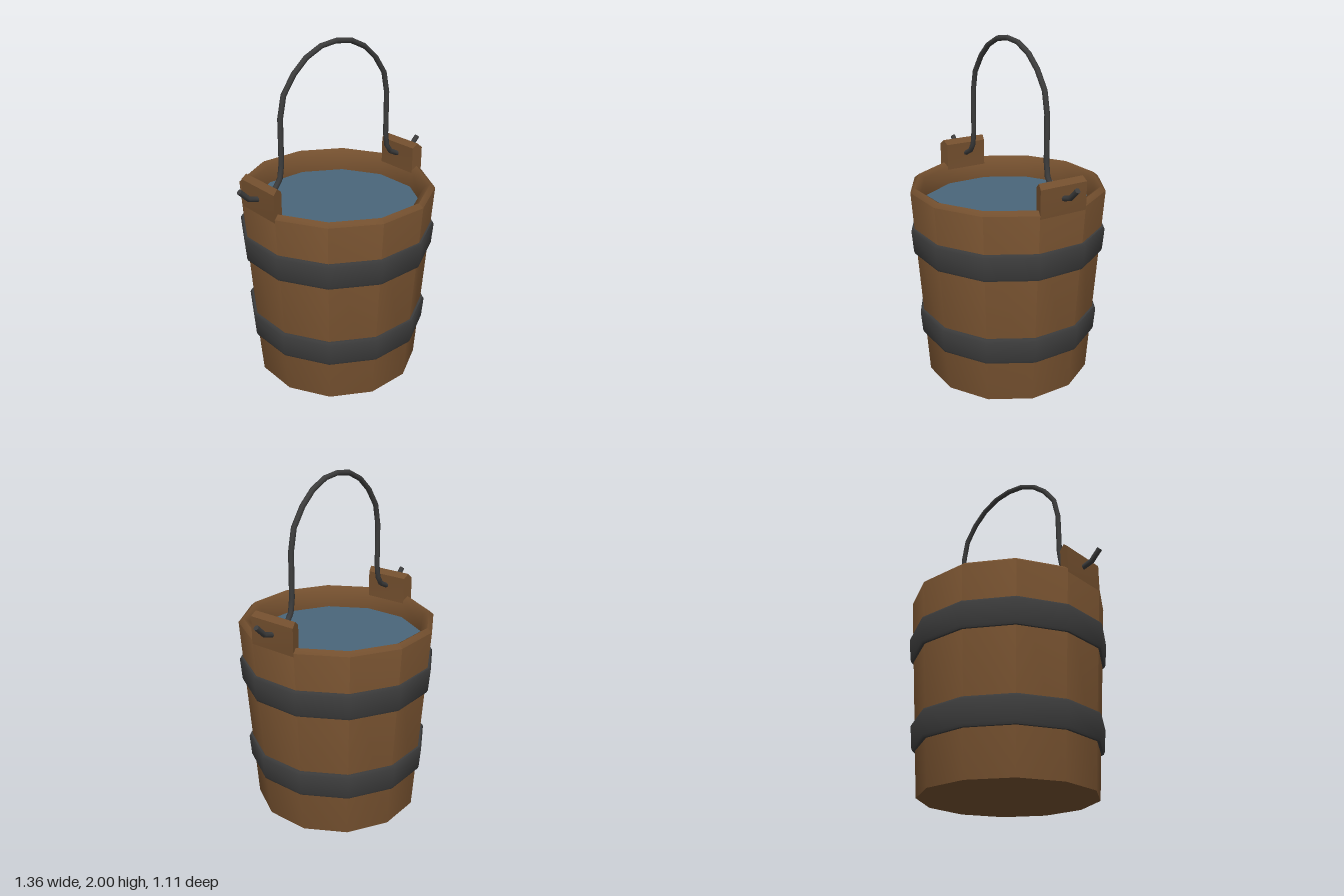
import * as THREE from 'three';
import { toCreasedNormals } from 'three/addons/utils/BufferGeometryUtils.js';

const SIDES = 12;
const HALF = Math.PI / SIDES;

const wood = new THREE.MeshStandardMaterial({ name: 'brown wood', color: 0x734f2e });
const iron = new THREE.MeshStandardMaterial({ name: 'dark iron', color: 0x3c3c3c });
const waterBlue = new THREE.MeshStandardMaterial({ name: 'water blue', color: 0x4a667a });

function addMesh(parent, name, geometry, material) {
  const mesh = new THREE.Mesh(geometry, material);
  mesh.name = name;
  parent.add(mesh);
  return mesh;
}

// Twelve-sided turned shape; profile widths are measured to the flat sides
function turned(profile) {
  const points = profile.map(([w, y]) => new THREE.Vector2(w / Math.cos(HALF), y));
  return toCreasedNormals(new THREE.LatheGeometry(points, SIDES, HALF), 1.0);
}

// Curve running straight from point to point
class Polyline extends THREE.Curve {
  constructor(points) {
    super();
    this.points = points;
  }
  getPoint(t, target = new THREE.Vector3()) {
    const last = this.points.length - 1;
    const i = Math.min(Math.floor(t * last + 1e-9), last - 1);
    return target.lerpVectors(this.points[i], this.points[i + 1], t * last - i);
  }
  getPointAt(t, target) { return this.getPoint(t, target); }
  getTangentAt(t, target) { return this.getTangent(t, target); }
}

// Raised stave: peaked section, with ends cut along the joints between sides
function earGeometry() {
  const shape = new THREE.Shape([
    [0.485, 1.04], [0.543, 1.04], [0.554, 1.15], [0.554, 1.287],
    [0.525, 1.314], [0.493, 1.287], [0.493, 1.15],
  ].map(([x, y]) => new THREE.Vector2(x, y)));
  const geometry = new THREE.ExtrudeGeometry(shape, { depth: 1, bevelEnabled: false });
  const pos = geometry.attributes.position;
  for (let i = 0; i < pos.count; i++) {
    const side = pos.getZ(i) > 0.5 ? 1 : -1;
    pos.setZ(i, side * pos.getX(i) * Math.tan(HALF));
  }
  return toCreasedNormals(geometry, 0.6);
}

export function createModel() {
  const bucket = new THREE.Group();
  bucket.name = 'waterBucket';

  // Hollow wooden body with a bevelled rim
  addMesh(bucket, 'body', turned([
    [0, 0], [0.478, 0], [0.553, 1.147], [0.526, 1.17],
    [0.493, 1.147], [0.484, 1.04], [0.42, 0.08], [0, 0.08],
  ]), wood);

  // Ears that carry the handle
  const ear = earGeometry();
  addMesh(bucket, 'leftEar', ear, wood);
  addMesh(bucket, 'rightEar', ear, wood).rotation.y = Math.PI;

  // Iron hoops, tapering with the body
  for (const [name, y, w] of [['lowerHoop', 0.255, 0.515], ['upperHoop', 0.775, 0.547]]) {
    addMesh(bucket, name, turned([
      [w - 0.045, y], [w - 0.006, y], [w, y + 0.015], [w + 0.01, y + 0.14],
      [w + 0.002, y + 0.155], [w - 0.035, y + 0.155],
    ]), iron);
  }

  // Water surface
  const water = new THREE.CircleGeometry(0.486 / Math.cos(HALF), SIDES, HALF);
  water.rotateX(-Math.PI / 2);
  addMesh(bucket, 'water', water, waterBlue).position.y = 1.04;

  // Bent wire handle, mirrored about the top
  const half = [
    [0.667, 1.292], [0.61, 1.235], [0.55, 1.217], [0.49, 1.222], [0.434, 1.25],
    [0.402, 1.297], [0.39, 1.376], [0.388, 1.63], [0.362, 1.752], [0.291, 1.852],
    [0.207, 1.925], [0.105, 1.972],
  ];
  const path = [
    ...half.map(([x, y]) => new THREE.Vector3(-x, y, 0)),
    new THREE.Vector3(0, 1.985, 0),
    ...half.map(([x, y]) => new THREE.Vector3(x, y, 0)).reverse(),
  ];
  const handle = new THREE.Group();
  handle.name = 'handle';
  bucket.add(handle);
  addMesh(handle, 'handleWire',
    new THREE.TubeGeometry(new Polyline(path), path.length - 1, 0.0155, 8), iron);

  // Flat ends of the wire
  for (const [name, end, next] of [
    ['rightHandleEnd', path[0], path[1]],
    ['leftHandleEnd', path.at(-1), path.at(-2)],
  ]) {
    const cap = addMesh(handle, name, new THREE.CircleGeometry(0.0155, 8), iron);
    cap.position.copy(end);
    cap.lookAt(end.clone().multiplyScalar(2).sub(next));
  }

  return bucket;
}
